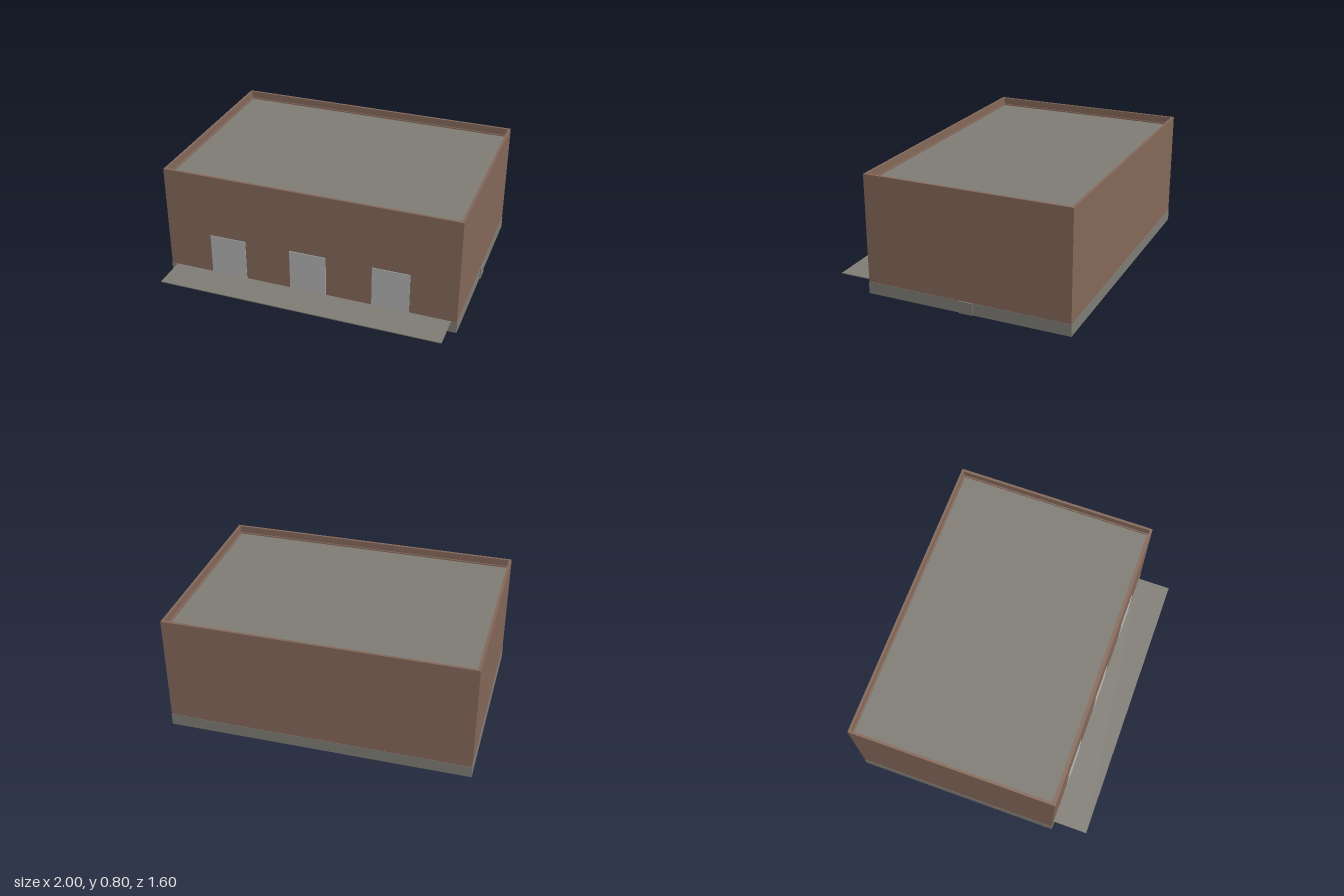
import * as THREE from 'three';

// Footprint of the building
const X0 = -1, X1 = 0.992, Z0 = -0.8, Z1 = 0.57;
const CX = (X0 + X1) / 2, CZ = (Z0 + Z1) / 2, W = X1 - X0, D = Z1 - Z0;
const HEIGHT = 0.8, BASE = 0.08, ROOF = 0.745;

export function createModel() {
  const model = new THREE.Group();
  model.name = 'building';
  const brown = new THREE.MeshStandardMaterial({ color: 0x846859, side: THREE.DoubleSide });
  const grey = new THREE.MeshStandardMaterial({ color: 0x7f7c75, side: THREE.DoubleSide });
  const pale = new THREE.MeshStandardMaterial({ color: 0xb3b3b3 });
  brown.name = 'brown wall';
  grey.name = 'grey concrete';
  pale.name = 'pale door';

  const add = (name, geometry, material, x = 0, y = 0, z = 0) => {
    const mesh = new THREE.Mesh(geometry, material);
    mesh.name = name;
    mesh.position.set(x, y, z);
    model.add(mesh);
    return mesh;
  };
  const box = (name, material, x0, x1, y0, y1, z0, z1) =>
    add(name, new THREE.BoxGeometry(x1 - x0, y1 - y0, z1 - z0), material,
      (x0 + x1) / 2, (y0 + y1) / 2, (z0 + z1) / 2);

  // Rectangular frame extruded upward, its border running from inset a to inset b
  const frame = (name, material, a, b, y0, y1) => {
    const rect = (Type, inset) => {
      const w = W / 2 - inset, d = D / 2 - inset;
      return new Type([[-w, -d], [w, -d], [w, d], [-w, d]].map(p => new THREE.Vector2(...p)));
    };
    const shape = rect(THREE.Shape, a);
    shape.holes.push(rect(THREE.Path, b));
    const geometry = new THREE.ExtrudeGeometry(shape, { depth: y1 - y0, bevelEnabled: false });
    geometry.rotateX(-Math.PI / 2);
    return add(name, geometry, material, CX, y0, CZ);
  };

  // Hollow shell, open underneath, with a concrete skirt around its foot
  frame('walls', brown, 0.001, 0.004, 0, ROOF);
  frame('foundation', grey, -0.001, 0.001, 0, BASE);

  // Flat roof sunk behind a stepped parapet
  const roof = add('roof', new THREE.PlaneGeometry(W - 0.006, D - 0.006), grey, CX, ROOF, CZ);
  roof.rotation.x = -Math.PI / 2;
  frame('parapet', brown, 0.001, 0.018, ROOF, HEIGHT);
  frame('parapetStep', brown, 0.018, 0.027, ROOF, ROOF + 0.008);

  // Loading ledge and the three doors above it
  box('ledge', grey, -0.96, 0.953, 0.074, BASE, Z1 - 0.004, 0.8);
  for (const x of [-0.565, -0.005, 0.555])
    box('door', pale, x - 0.125, x + 0.125, BASE, 0.363, Z1 - 0.001, Z1 + 0.003);

  // Small sill on the left side
  box('sideSill', grey, X1 - 0.002, 1, 0, BASE, -0.16, -0.07);

  return model;
}
